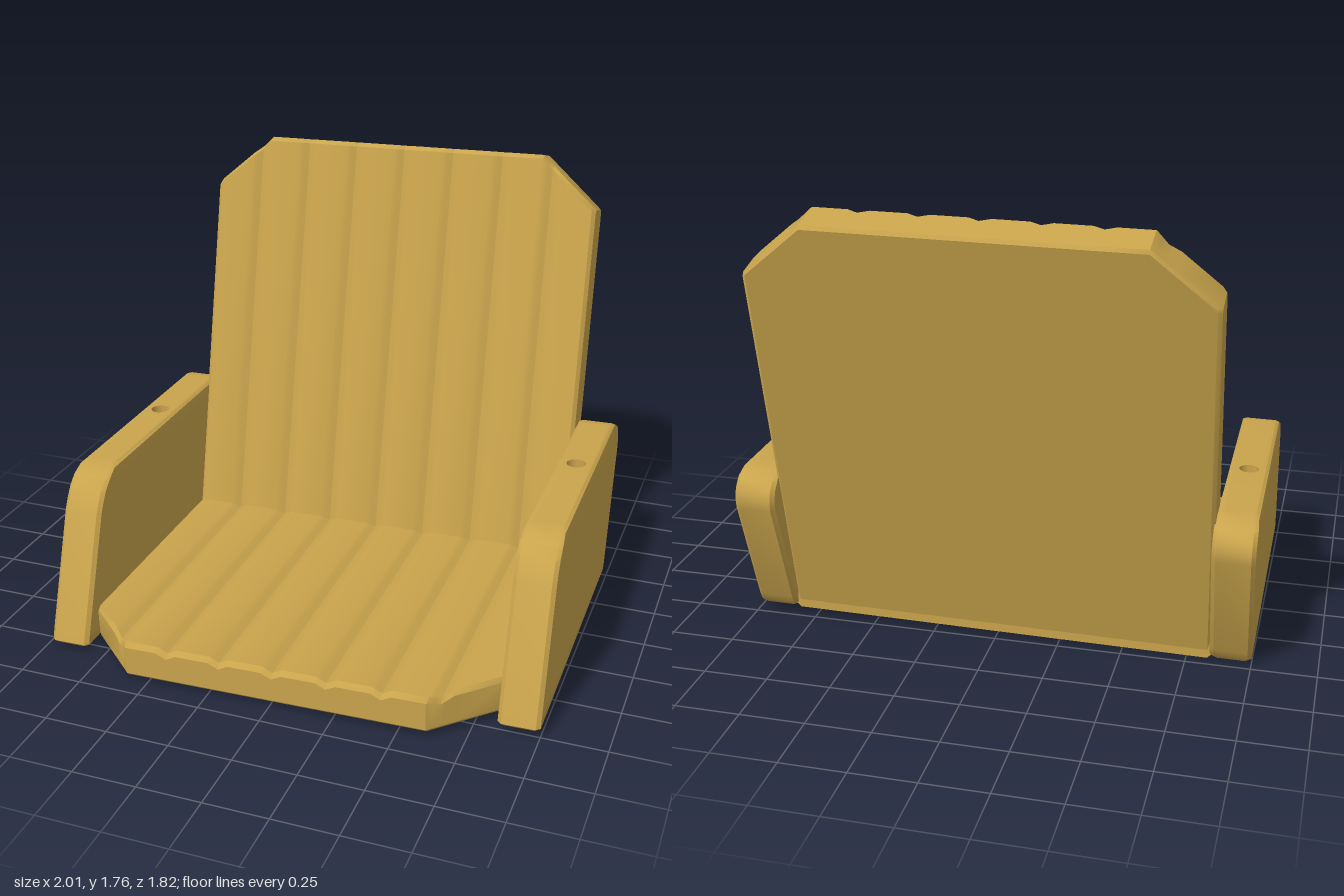
import * as THREE from 'three';
import { toCreasedNormals } from 'three/addons/utils/BufferGeometryUtils.js';

const GROOVES = [-3, -2, -1, 0, 1, 2, 3].map((i) => i * 0.215);
const HALF = 0.84;

// Grooved slab: x across, z along its length, y through its thickness.
// The far corners are cut off beyond |x| = 0.6 at the given slope.
function slab(length, thickness, cutSlope) {
  const columns = [-HALF, -HALF + 0.015];
  for (const g of GROOVES) for (const d of [-0.04, -0.02, 0, 0.02, 0.04]) columns.push(g + d);
  columns.push(-0.6, 0.6, HALF - 0.015, HALF);
  columns.sort((a, b) => a - b);

  const positions = [];
  const index = [];
  const n = 6;
  columns.forEach((x, i) => {
    const rim = Math.abs(x) > HALF - 0.005 ? 0.015 : 0;
    let h = thickness - rim;
    for (const g of GROOVES) {
      const d = Math.abs(x - g);
      if (d < 0.04) h -= 0.01 * (1 + Math.cos((Math.PI * d) / 0.04));
    }
    const end = length - Math.max(0, Math.abs(x) - 0.6) * cutSlope;
    const ring = [[0, rim], [end - 0.012, rim], [end, rim + 0.012], [end, h - 0.018], [end - 0.018, h], [0, h]];
    for (const [z, y] of ring) positions.push(x, y, z);
    if (i === 0) return;
    for (let j = 0; j < n; j++) {
      const a = (i - 1) * n + j;
      const b = (i - 1) * n + ((j + 1) % n);
      index.push(a, a + n, b + n, a, b + n, b);
    }
  });
  // Side caps
  const last = (columns.length - 1) * n;
  for (let j = 1; j < n - 1; j++) {
    index.push(0, j, j + 1, last, last + j + 1, last + j);
  }
  const geometry = new THREE.BufferGeometry();
  geometry.setAttribute('position', new THREE.Float32BufferAttribute(positions, 3));
  geometry.setIndex(index);
  return toCreasedNormals(geometry, 0.6);
}

// Armrest levels: height, front z, back z, inset of the sides
const ARM_LEVELS = [
  [0.022, 0.765, -0.455, 0.012],
  [0.04, 0.785, -0.477, 0],
  [0.08, 0.772, -0.497, 0],
  [0.53, 0.6, -0.674, 0],
  [0.57, 0.578, -0.68, 0],
  [0.61, 0.55, -0.67, 0],
  [0.645, 0.51, -0.64, 0],
  [0.67, 0.46, -0.59, 0.004],
  [0.681, 0.41, -0.54, 0.016],
];
const ARM_HALF = 0.08;
const HOLE_Z = -0.13;

// Plan outline with a dowel hole, stacked up through the levels
function armGeometry() {
  const w = ARM_HALF;
  const k = 0.015;
  const outline = [[-w, -0.985], [-w + k, -1], [w - k, -1], [w, -0.985], [w, 0.985], [w - k, 1], [-w + k, 1], [-w, 0.985]];
  const shape = new THREE.Shape(outline.map(([x, y]) => new THREE.Vector2(x, y)));
  shape.holes.push(new THREE.Path().absarc(0, -HOLE_Z, 0.038, 0, Math.PI * 2, true));
  const steps = ARM_LEVELS.length - 1;
  const geometry = new THREE.ExtrudeGeometry(shape, { depth: steps, steps, bevelEnabled: false, curveSegments: 16 });
  geometry.rotateX(-Math.PI / 2);

  const p = geometry.attributes.position;
  for (let i = 0; i < p.count; i++) {
    const [y, front, back, inset] = ARM_LEVELS[Math.round(p.getY(i))];
    const x = p.getX(i);
    const z = p.getZ(i);
    p.setY(i, y);
    if (Math.abs(z) < 0.5) continue;
    const pull = Math.abs(x) > w - 0.005 ? k : 0;
    p.setZ(i, z > 0 ? front - pull : back + pull);
    p.setX(i, x - Math.sign(x) * inset);
  }
  return toCreasedNormals(geometry, 0.6);
}

export function createModel() {
  const wood = new THREE.MeshStandardMaterial({ color: 0xc9a44c });
  wood.name = 'goldenWood';
  const model = new THREE.Group();
  model.name = 'slattedArmchair';

  const add = (name, geometry, x, y, z) => {
    const mesh = new THREE.Mesh(geometry, wood);
    mesh.name = name;
    mesh.position.set(x, y, z);
    model.add(mesh);
    return mesh;
  };

  // Seat and reclined backrest
  add('seat', slab(1.365, 0.143, 0.95), 0, 0.022, -0.465);
  const back = add('backrest', slab(1.758, 0.164, 0.87), 0, 0.022, -0.456);
  back.rotation.set(THREE.MathUtils.degToRad(-105), 0, Math.PI);

  // Armrests with shallow dowel holes above and below
  const arm = armGeometry();
  const plug = new THREE.CylinderGeometry(0.04, 0.04, 0.59, 20);
  for (const [side, name] of [[1, 'left'], [-1, 'right']]) {
    add(name + 'Armrest', arm, side * 0.915, 0, 0);
    add(name + 'DowelPlug', plug, side * 0.915, 0.35, HOLE_Z);
  }

  // The chair stands very slightly askew
  model.rotation.set(0, 0.01, 0.014);
  model.position.y = -0.005;
  return model;
}
